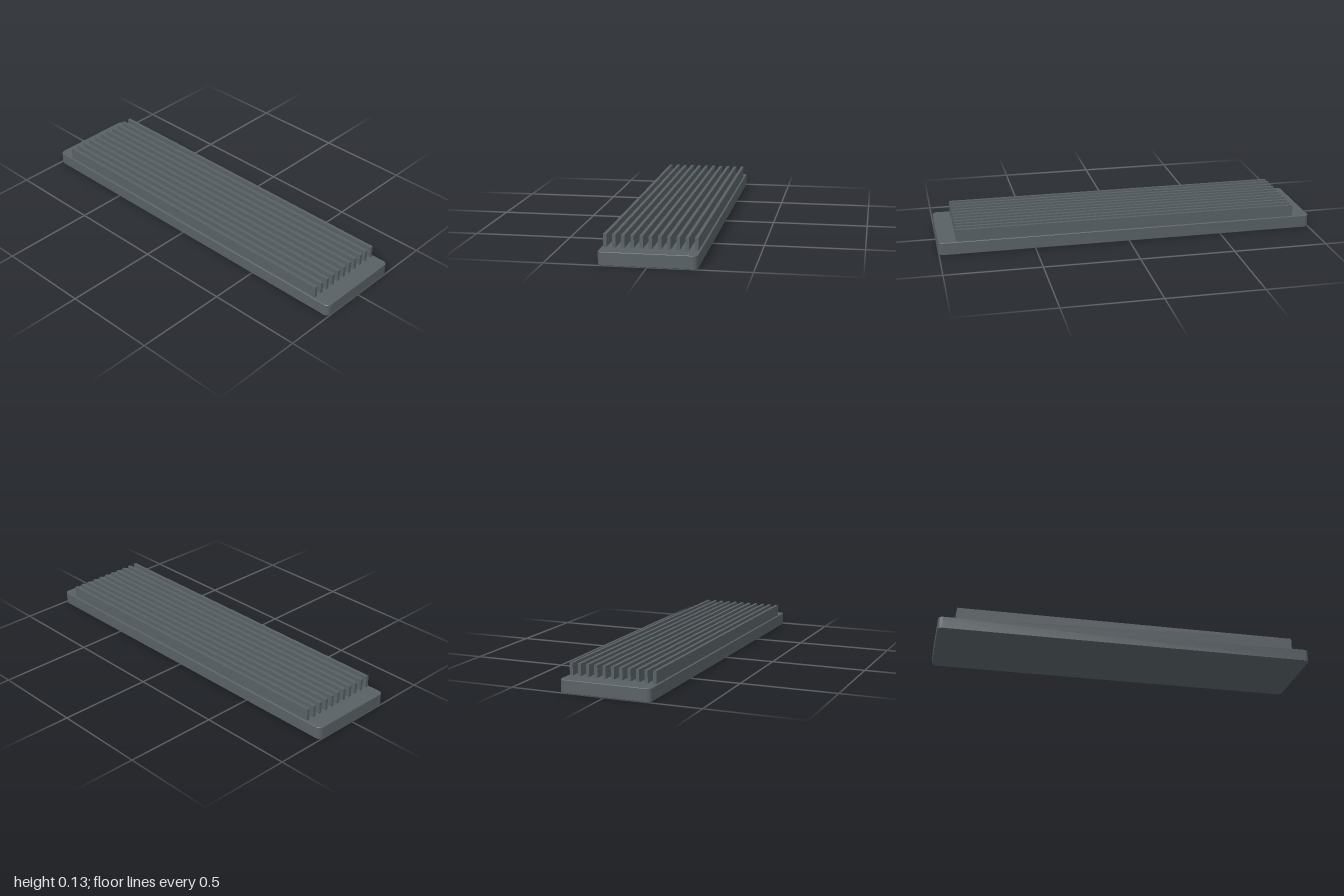
import * as THREE from 'three';
import { toCreasedNormals } from 'three/addons/utils/BufferGeometryUtils.js';

// Plate standing on y = 0 with rounded vertical corners and a fine edge bevel
function roundedPlate(width, height, length, radius, bevel) {
  const x = width / 2 - bevel, z = length / 2 - bevel, r = radius - bevel;
  const shape = new THREE.Shape();
  shape.absarc(x - r, z - r, r, 0, Math.PI / 2);
  shape.absarc(-x + r, z - r, r, Math.PI / 2, Math.PI);
  shape.absarc(-x + r, -z + r, r, Math.PI, Math.PI * 1.5);
  shape.absarc(x - r, -z + r, r, Math.PI * 1.5, Math.PI * 2);
  const geometry = new THREE.ExtrudeGeometry(shape, {
    depth: height - bevel * 2, bevelEnabled: true, bevelThickness: bevel,
    bevelSize: bevel, bevelSegments: 1, curveSegments: 5,
  });
  geometry.rotateX(-Math.PI / 2);
  geometry.translate(0, bevel, 0);
  return toCreasedNormals(geometry, 0.5);
}

export function createModel() {
  const group = new THREE.Group();
  group.name = 'finnedPlate';
  const metal = new THREE.MeshStandardMaterial({ color: 0x596165 });
  metal.name = 'dark grey metal';

  // Base plate
  const baseHeight = 0.066;
  const base = new THREE.Mesh(roundedPlate(0.478, baseHeight, 2, 0.025, 0.002), metal);
  base.name = 'basePlate';
  group.add(base);

  // Row of eleven long cooling fins
  const fins = new THREE.Group();
  fins.name = 'coolingFins';
  const count = 11, pitch = 0.0442, finHeight = 0.063;
  const finGeometry = new THREE.BoxGeometry(0.0165, finHeight, 1.815);
  for (let i = 0; i < count; i++) {
    const fin = new THREE.Mesh(finGeometry, metal);
    fin.name = 'fin' + (i + 1);
    fin.position.set((i - (count - 1) / 2) * pitch, baseHeight + finHeight / 2, 0);
    fins.add(fin);
  }
  group.add(fins);
  return group;
}
